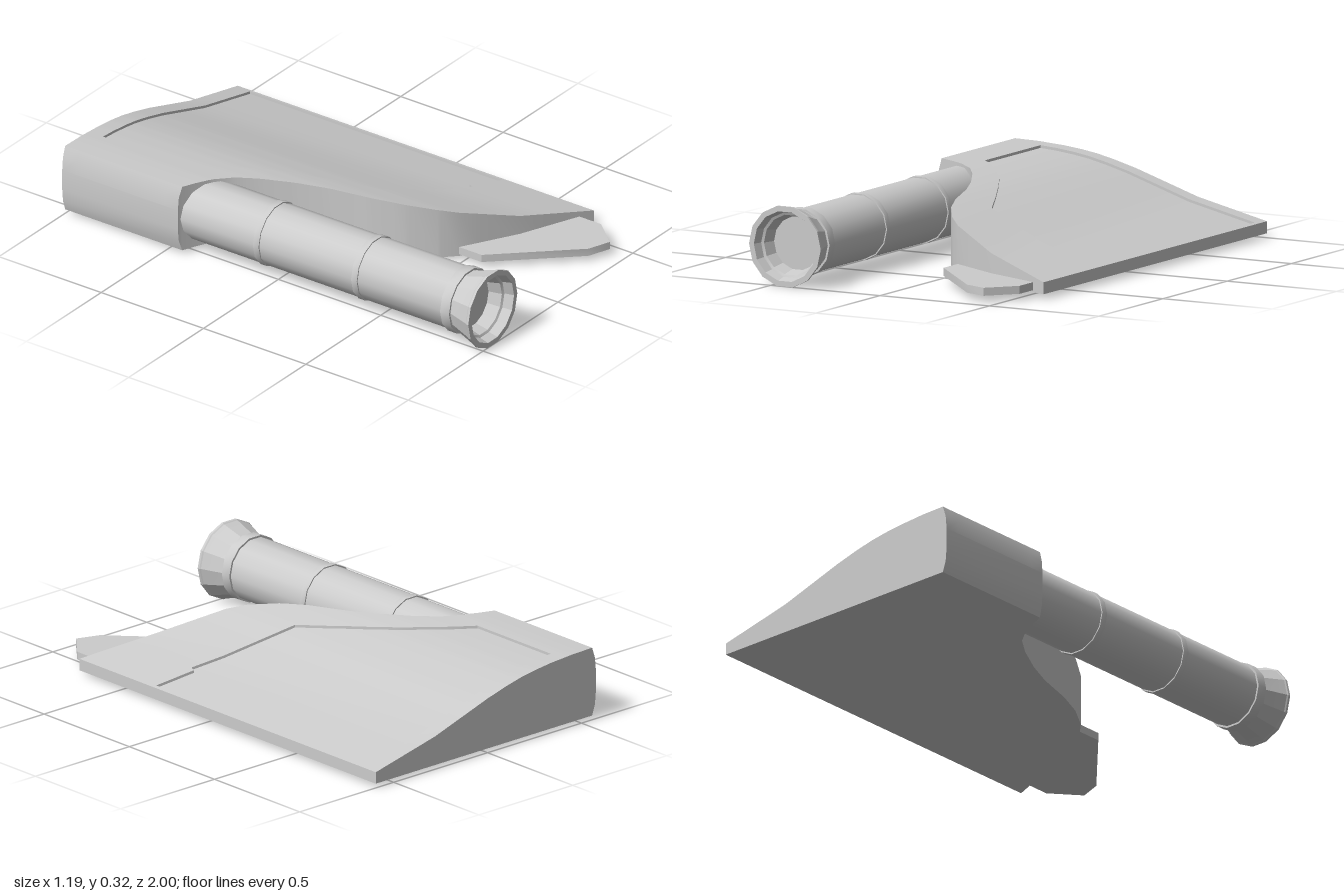
import * as THREE from 'three';
import { toCreasedNormals } from 'three/addons/utils/BufferGeometryUtils.js';

const material = new THREE.MeshStandardMaterial({ color: 0xcccccc });

// Piecewise-linear lookup through [x, value] pairs
function lookup(table, x) {
  if (x <= table[0][0]) return table[0][1];
  for (let i = 1; i < table.length; i++) {
    const [x0, v0] = table[i - 1], [x1, v1] = table[i];
    if (x <= x1) return v0 + (v1 - v0) * (x - x0) / (x1 - x0);
  }
  return table[table.length - 1][1];
}

function addMesh(parent, name, geometry, crease = 0.55) {
  const mesh = new THREE.Mesh(toCreasedNormals(geometry, crease), material);
  mesh.name = name;
  parent.add(mesh);
  return mesh;
}

// Wedge body: cross-sections along x with a shallow recessed panel on top
function bodyGeometry() {
  const height = [[-0.56, 0.305], [-0.45, 0.303], [-0.33, 0.295], [-0.25, 0.286], [-0.18, 0.275],
    [-0.1, 0.257], [0, 0.23], [0.14, 0.185], [0.28, 0.14], [0.595, 0.068]];
  const front = [[-0.575, -0.435], [-0.5, -0.405], [-0.43, -0.37], [-0.36, -0.315], [-0.3, -0.23],
    [-0.23, -0.1], [-0.18, 0.02], [-0.13, 0.19], [-0.08, 0.31], [-0.01, 0.42], [0.05, 0.48],
    [0.28, 0.61], [0.595, 0.74]];
  const panel = [[-0.4, -0.5], [-0.33, -0.435], [-0.27, -0.36], [-0.2, -0.27], [-0.14, -0.16],
    [-0.07, -0.02], [0, 0.13], [0.28, 0.24], [0.41, 0.285], [0.42, 0.26], [0.58, 0.305]];

  // Columns: x, recess depth, top drop and bottom lift for the bulged left side
  const depth = 0.011;
  const columns = [[-0.577, 0, 0.1, 0.1], [-0.572, 0, 0.045, 0.045], [-0.557, 0, 0, 0]];
  const xs = [...new Set([...height, ...front, ...panel].map(p => p[0]))].sort((a, b) => a - b);
  for (const x of xs) {
    if (x < -0.55) continue;
    if (x <= -0.4 || x >= 0.58) columns.push([x, 0, 0, 0]);
    if (x >= -0.4 && x <= 0.58) columns.push([x, depth, 0, 0]);
    if (x === 0.58) columns.splice(-2, 2, [x, depth, 0, 0], [x, 0, 0, 0]);
  }

  const positions = [], index = [], n = 8;
  for (const [x, d, drop, lift] of columns) {
    const h = lookup(height, x) - drop, b = 0.02 + lift;
    const f = lookup(front, x), p = lookup(panel, x);
    const loop = [[-1, b], [-1, h], [-0.93, h], [-0.93, h - d], [p, h - d], [p, h], [f, h], [f, b]];
    for (const [z, y] of loop) positions.push(x, y, z);
  }
  for (let i = 0; i < columns.length - 1; i++) {
    for (let j = 0; j < n; j++) {
      const k = (j + 1) % n, a = i * n, c = a + n;
      index.push(a + j, a + k, c + k, a + j, c + k, c + j);
    }
  }
  const e = (columns.length - 1) * n;
  index.push(0, 7, 6, 0, 6, 1, e, e + 1, e + 6, e, e + 6, e + 7);

  const geometry = new THREE.BufferGeometry();
  geometry.setAttribute('position', new THREE.Float32BufferAttribute(positions, 3));
  geometry.setIndex(index);
  return geometry;
}

// Turned part along z, with a flat facet on top
function turned(profile) {
  const sides = 14;
  return new THREE.LatheGeometry(profile.map(([r, z]) => new THREE.Vector2(r, z)), sides)
    .rotateY(Math.PI / sides)
    .rotateX(Math.PI / 2);
}

export function createModel() {
  const model = new THREE.Group();
  addMesh(model, 'body', bodyGeometry());

  // Thin fin under the front edge
  const outline = [[0.05, 0.4], [0.05, 0.59], [0.34, 0.9], [0.435, 0.935], [0.533, 0.82], [0.533, 0.6]];
  const finShape = new THREE.Shape(outline.map(([x, z]) => new THREE.Vector2(x, z)));
  const fin = new THREE.ExtrudeGeometry(finShape, { depth: 0.032, bevelEnabled: false });
  fin.rotateX(Math.PI / 2).translate(0, 0.06, 0);
  addMesh(model, 'fin', fin);

  // Barrel with collars and a flared, hollow muzzle
  const barrel = new THREE.Group();
  barrel.name = 'barrel';
  barrel.position.set(-0.435, 0.162, 0);
  model.add(barrel);
  addMesh(barrel, 'tube', turned([[0, -0.5], [0.13, -0.5], [0.13, 0.89]]));
  for (const [z, half, r] of [[-0.06, 0.014, 0.135], [0.42, 0.014, 0.135], [0.865, 0.022, 0.138]]) {
    addMesh(barrel, 'collar', turned([[0.128, z - half], [r, z - half], [r, z + half], [0.128, z + half]]));
  }
  addMesh(barrel, 'muzzle', turned([[0.128, 0.885], [0.13, 0.895], [0.16, 0.985], [0.164, 0.99], [0.164, 1],
    [0.142, 1], [0.132, 0.96], [0.122, 0.955], [0.108, 0.9], [0, 0.9]]), 0.3);

  return model;
}
